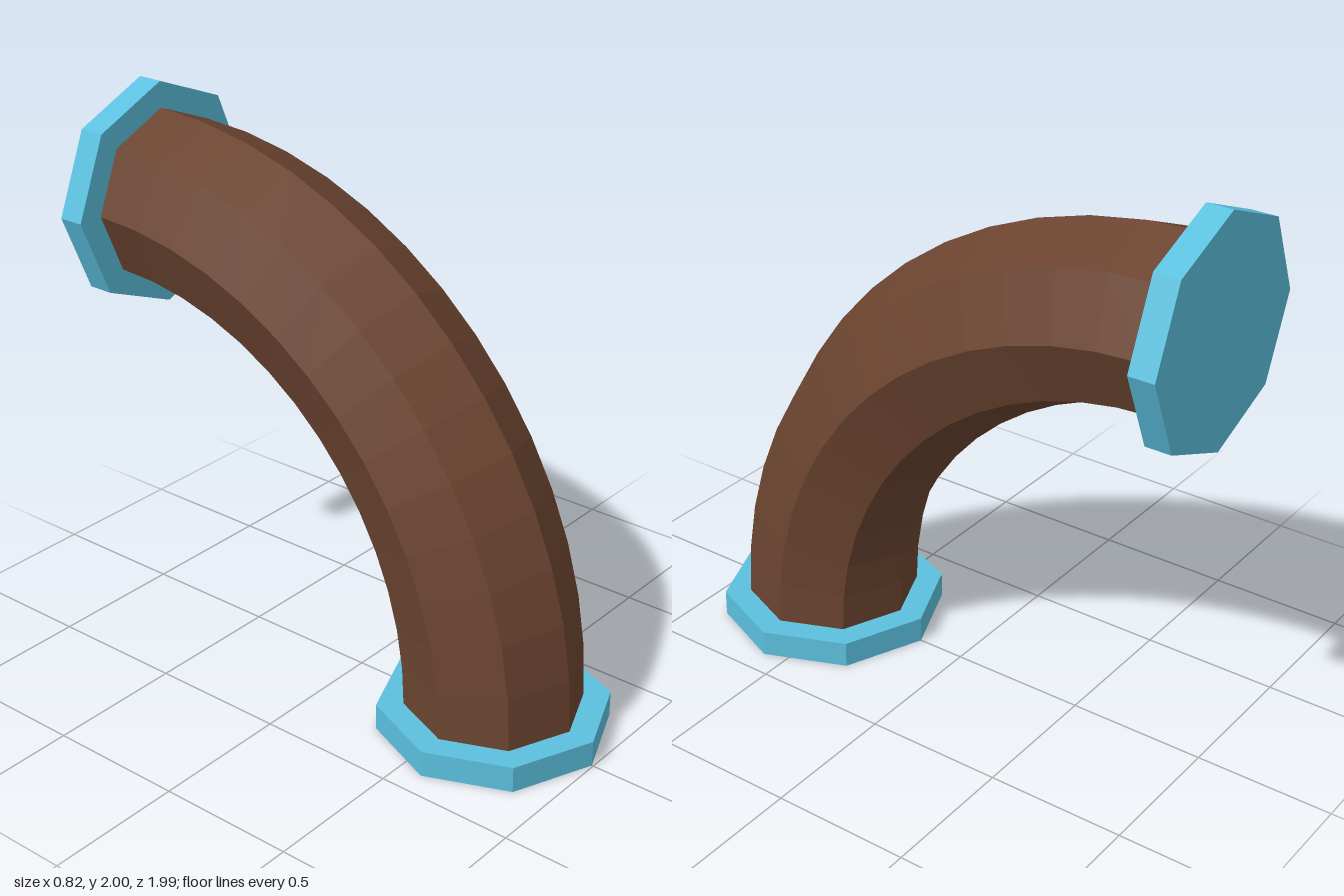
import * as THREE from 'three';

// Quarter bend in the YZ plane, rising from the base and turning towards the back
class BendCurve extends THREE.Curve {
  getPoint(t, target = new THREE.Vector3()) {
    const a = t * Math.PI / 2;
    return target.set(0, 0.093 + 1.499 * Math.sin(a), -0.9 + 1.487 * Math.cos(a));
  }
}

export function createModel() {
  const model = new THREE.Group();
  model.name = 'pipeElbow';
  const brown = new THREE.MeshStandardMaterial({ color: 0x6b4430, flatShading: true });
  const blue = new THREE.MeshStandardMaterial({ color: 0x5bc0de, flatShading: true });

  // Eight-sided bent pipe
  const pipe = new THREE.Mesh(new THREE.TubeGeometry(new BendCurve(), 14, 0.313, 8, false), brown);
  pipe.name = 'bentPipe';
  model.add(pipe);

  // Octagonal end flanges
  const flangeGeometry = new THREE.CylinderGeometry(0.408, 0.408, 0.095, 8);
  const addFlange = (name, y, z, tilt) => {
    const flange = new THREE.Mesh(flangeGeometry, blue);
    flange.name = name;
    flange.position.set(0, y, z);
    flange.rotation.x = tilt;
    model.add(flange);
  };
  addFlange('baseFlange', 0.0475, 0.587, 0);
  addFlange('rearFlange', 1.592, -0.9475, -Math.PI / 2);

  return model;
}
